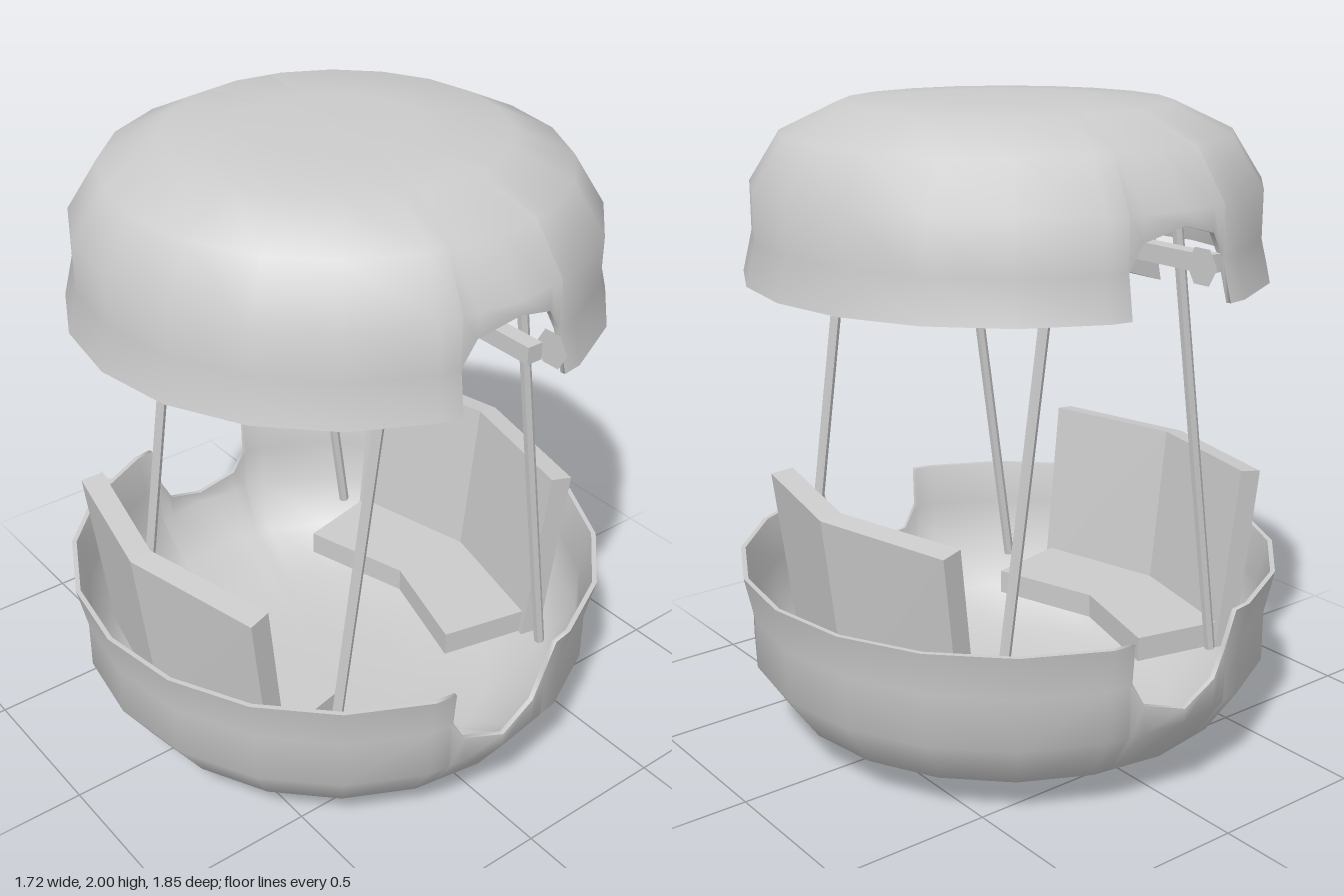
import * as THREE from 'three';
import { mergeGeometries } from 'three/addons/utils/BufferGeometryUtils.js';

const mat = new THREE.MeshStandardMaterial({ color: 0xcccccc });
const SIDES = 20, WALL = 0.015, STEP = (Math.PI * 2) / SIDES;

function add(parent, geometry, name, material = mat) {
  const mesh = new THREE.Mesh(geometry, material);
  mesh.name = name;
  parent.add(mesh);
  return mesh;
}

// Radius of a profile at height y
function radiusAt(profile, y) {
  for (let i = profile.length - 1; i > 0; i--) {
    const [r0, y0] = profile[i - 1], [r1, y1] = profile[i];
    if ((y - y0) * (y - y1) <= 0 && y0 !== y1) return r0 + ((r1 - r0) * (y - y0)) / (y1 - y0);
  }
  return profile[profile.length - 1][0];
}

// Indexed surface through columns of points, closed around the axis
function skin(cols, flip) {
  const n = cols[0].length, pos = cols.flat(2), idx = [];
  for (let c = 0; c < cols.length; c++) {
    const d = (c + 1) % cols.length;
    for (let r = 0; r < n - 1; r++) {
      const p = c * n + r, q = d * n + r;
      for (const [i, j, k] of [[p, q, q + 1], [p, q + 1, p + 1]]) idx.push(...(flip ? [i, k, j] : [i, j, k]));
    }
  }
  const g = new THREE.BufferGeometry();
  g.setAttribute('position', new THREE.Float32BufferAttribute(pos, 3));
  g.setIndex(idx);
  g.computeVertexNormals();
  return g;
}

// Thin 20-sided bowl with a notch in the rim at front and back.
// dir is 1 when the rim faces up, -1 when it faces down.
function shell(profile, notch, dir) {
  const columns = [];
  for (const turn of [0, Math.PI]) {
    for (let k = -4; k <= -1; k++) columns.push({ a: turn + k * STEP });
    const half = notch.map(([x, h]) => ({ a: Math.asin(x / radiusAt(profile, h)), h }));
    for (const p of half) columns.push({ a: turn - p.a, h: p.h });
    for (const p of half.slice(0, -1).reverse()) columns.push({ a: turn + p.a, h: p.h });
    for (let k = 1; k <= 5; k++) columns.push({ a: turn + k * STEP });
  }
  const surface = (prof) => columns.map(({ a, h }) => prof.map(([r, y]) => {
    if (h !== undefined && (y - h) * dir > 0) { y = h; r = radiusAt(prof, h); }
    const off = a - (Math.floor(a / STEP + 1e-6) + 0.5) * STEP;
    const flat = r * Math.cos(STEP / 2) / Math.cos(off);
    return [flat * Math.sin(a), y, flat * Math.cos(a)];
  }));
  const last = profile.length - 1;
  const inner = profile.map(([r, y], i) => [Math.max(r - WALL, 0), y + dir * WALL * (1 - i / last)]);
  const out = surface(profile), ins = surface(inner);
  const rim = columns.map((_, i) => [out[i][last], ins[i][last]]);
  const flip = dir < 0;
  return mergeGeometries([skin(out, flip), skin(ins, !flip), skin(rim, flip)]);
}

// Prism with a given outline in x-y, centred along z
function prism(points, depth) {
  const shape = new THREE.Shape(points.map(([x, y]) => new THREE.Vector2(x, y)));
  return new THREE.ExtrudeGeometry(shape, { depth, bevelEnabled: false }).translate(0, 0, -depth / 2);
}

// Bend a prism about z = 0 so both ends swing inwards
function chevron(points, depth) {
  const parts = [-1, 1].map((s) => {
    const g = prism(points, depth / 2).translate(0, 0, (s * depth) / 4);
    const p = g.attributes.position;
    for (let i = 0; i < p.count; i++) {
      const z = p.getZ(i), x = p.getX(i), t = Math.abs(z) / (depth / 2);
      p.setXYZ(i, x - 0.105 * t, p.getY(i), z + s * t * (x - 0.68) * 0.22);
    }
    g.computeVertexNormals();
    return g;
  });
  return mergeGeometries(parts);
}

export function createModel() {
  const model = new THREE.Group();
  model.name = 'gondola';

  // Lower tub and roof
  const tub = shell(
    [[0, 0], [0.25, 0.005], [0.54, 0.025], [0.73, 0.12], [0.83, 0.27], [0.83, 0.43], [0.86, 0.57]],
    [[0.2, 0.57], [0.185, 0.44], [0.14, 0.36], [0, 0.315]], 1);
  add(model, tub, 'tub').position.z = 0.02;
  const roof = shell(
    [[0, 2], [0.25, 1.997], [0.5, 1.985], [0.68, 1.9], [0.775, 1.75], [0.775, 1.6], [0.805, 1.475]],
    [[0.185, 1.475], [0.175, 1.6], [0.13, 1.675], [0, 1.71]], -1);
  add(model, roof, 'roof').position.z = 0.025;

  // Four leaning support rods
  for (const sx of [-1, 1]) {
    for (const z of [0.555, -0.49]) {
      const low = new THREE.Vector3(sx * 0.43 + 0.008, 0.27, z);
      const high = new THREE.Vector3(sx * 0.195 + 0.008, 1.9, z);
      const span = high.clone().sub(low);
      const rod = add(model, new THREE.CylinderGeometry(0.017, 0.017, span.length(), 6).toNonIndexed(), 'supportRod');
      rod.geometry.computeVertexNormals();
      rod.position.copy(low).add(high).multiplyScalar(0.5);
      rod.quaternion.setFromUnitVectors(new THREE.Vector3(0, 1, 0), span.normalize());
    }
  }

  // Two facing benches, each bent in the middle
  for (const turn of [0, Math.PI]) {
    const bench = new THREE.Group();
    bench.name = 'bench';
    add(bench, chevron([[0.59, 0.22], [0.66, 0.22], [0.73, 0.81], [0.66, 0.82]], 0.92), 'backrest');
    add(bench, chevron([[0.32, 0.22], [0.63, 0.22], [0.63, 0.3], [0.32, 0.3]], 0.88), 'seat');
    bench.position.set(-0.03, 0, 0.015);
    bench.rotation.y = turn;
    model.add(bench);
  }

  // Skewed hanger block under the roof, its axle and end plates
  add(model, prism([[-0.1, 1.52], [0.075, 1.575], [0.1, 1.705], [-0.072, 1.662]], 1.11), 'hangerBlock');
  add(model, new THREE.BoxGeometry(0.05, 0.05, 1.72), 'axle').position.y = 1.625;
  const plateMat = mat.clone();
  plateMat.side = THREE.DoubleSide;
  for (const s of [-1, 1]) {
    const plate = add(model, new THREE.CircleGeometry(0.056, 6), 'endPlate', plateMat);
    plate.rotation.y = Math.PI / 2;
    plate.position.set(0.052, 1.625, s * 0.868);
  }
  return model;
}
